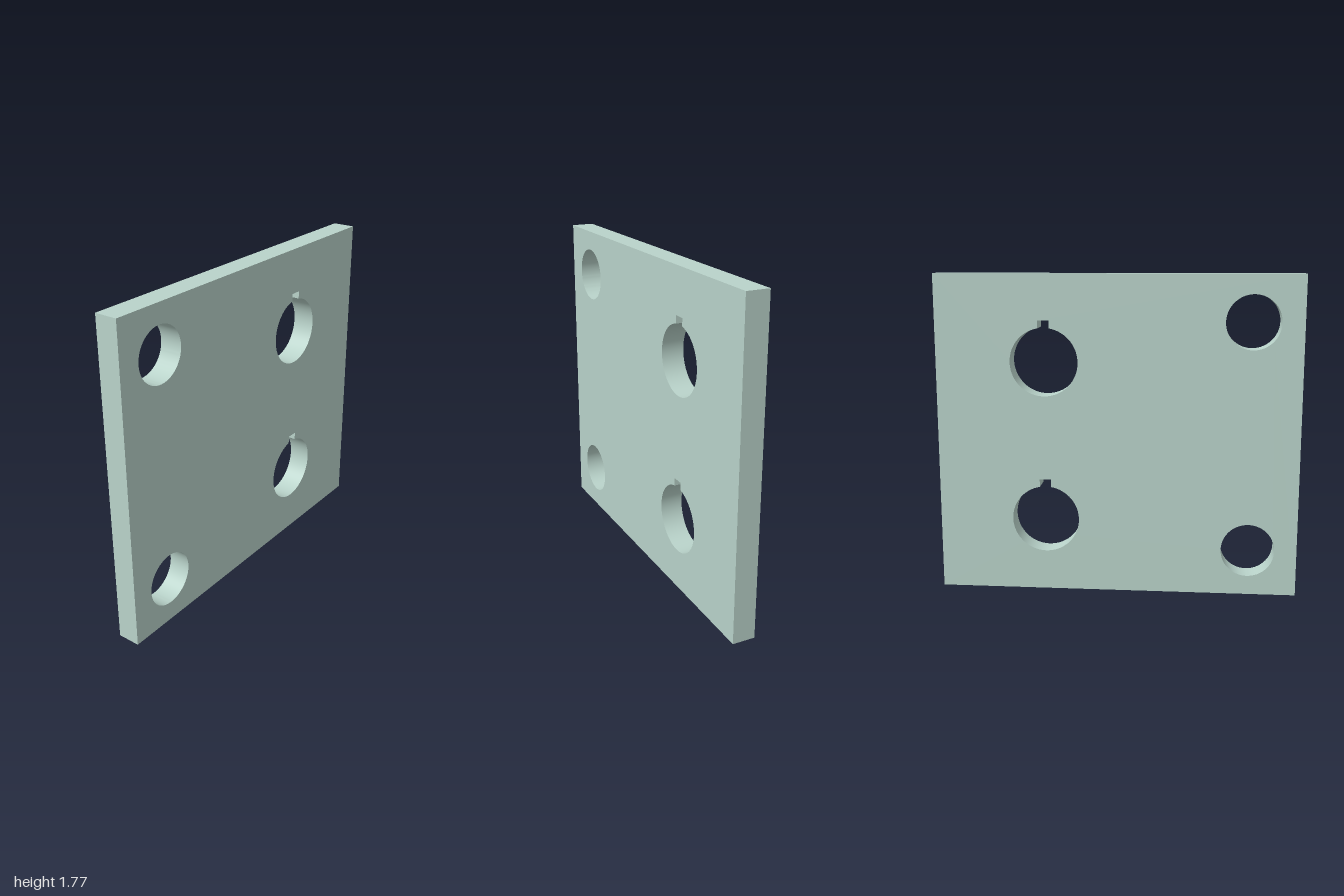
import * as THREE from 'three';
import { toCreasedNormals } from 'three/addons/utils/BufferGeometryUtils.js';

const HEIGHT = 1.773, LENGTH = 2, THICKNESS = 0.125;

// Plain round hole
function roundHole(z, y, r) {
  return new THREE.Path().absarc(z, y, r, 0, Math.PI * 2, true);
}

// Round bore with a rectangular keyway at the top
function keyedHole(z, y, r, halfWidth, keyTop) {
  const a = Math.acos(halfWidth / r);
  const path = new THREE.Path();
  path.moveTo(z - halfWidth, y + keyTop);
  path.lineTo(z + halfWidth, y + keyTop);
  path.absarc(z, y, r, a, Math.PI - a, true);
  path.closePath();
  return path;
}

export function createModel() {
  const group = new THREE.Group();
  group.name = 'mountingPlate';

  // Plate outline drawn in the z-y plane
  const outline = new THREE.Shape();
  outline.moveTo(-LENGTH / 2, 0);
  outline.lineTo(LENGTH / 2, 0);
  outline.lineTo(LENGTH / 2, HEIGHT);
  outline.lineTo(-LENGTH / 2, HEIGHT);
  outline.closePath();

  for (const y of [0.255, 1.518]) outline.holes.push(roundHole(0.73, y, 0.148));
  for (const y of [0.411, 1.295]) outline.holes.push(keyedHole(-0.4, y, 0.187, 0.032, 0.227));

  // Extrude the thickness, centre it and turn it along x
  const geometry = new THREE.ExtrudeGeometry(outline, {
    depth: THICKNESS, bevelEnabled: false, curveSegments: 48,
  });
  geometry.translate(0, 0, -THICKNESS / 2);
  geometry.rotateY(-Math.PI / 2);

  const plate = new THREE.Mesh(
    toCreasedNormals(geometry, 0.5),
    new THREE.MeshStandardMaterial({ color: 0xb9d3ca })
  );
  plate.name = 'plate';
  group.add(plate);
  return group;
}
